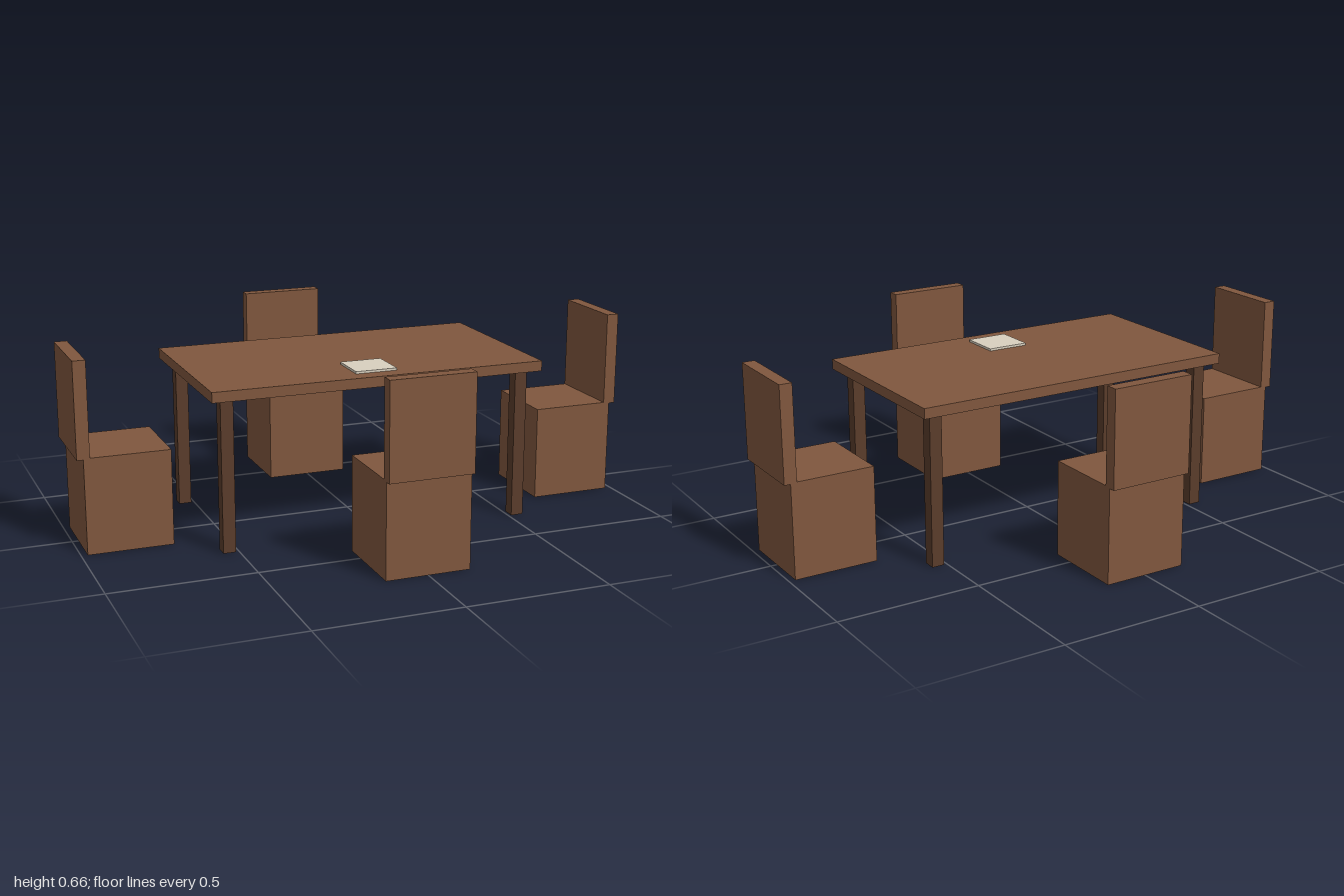
import * as THREE from 'three';

const wood = new THREE.MeshStandardMaterial({ color: 0x80573e });
const darkWood = new THREE.MeshStandardMaterial({ color: 0x5a3c2b });
const paper = new THREE.MeshStandardMaterial({ color: 0xd9d0bf });

// Box given by its size, centre x and z, and bottom height
function box(name, material, w, h, d, x, y, z) {
  const mesh = new THREE.Mesh(new THREE.BoxGeometry(w, h, d), material);
  mesh.name = name;
  mesh.position.set(x, y + h / 2, z);
  return mesh;
}

// Chair with its backrest centred over the rear edge of the seat block
function chair(name, distance, angle) {
  const group = new THREE.Group();
  group.name = name;
  group.add(
    box('seat', wood, 0.295, 0.334, 0.295, 0, 0, distance - 0.1695),
    box('backrest', wood, 0.295, 0.333, 0.044, 0, 0.33, distance - 0.022)
  );
  group.rotation.y = angle;
  return group;
}

export function createModel() {
  const model = new THREE.Group();
  model.name = 'diningSet';

  // Table
  const table = new THREE.Group();
  table.name = 'table';
  table.add(box('tableTop', wood, 1.186, 0.036, 0.666, 0, 0.53, 0));
  for (const x of [-1, 1]) {
    for (const z of [-1, 1]) {
      table.add(box('tableLeg', darkWood, 0.044, 0.532, 0.044, x * 0.533, 0, z * 0.274));
    }
  }
  model.add(table);

  // Sheet lying on the table
  model.add(box('paper', paper, 0.148, 0.009, 0.148, 0, 0.565, 0.2));

  // Four chairs, one on each side, facing the table
  model.add(
    chair('frontChair', 0.741, 0),
    chair('backChair', 0.741, Math.PI),
    chair('leftChair', 1, Math.PI / 2),
    chair('rightChair', 1, -Math.PI / 2)
  );
  return model;
}
